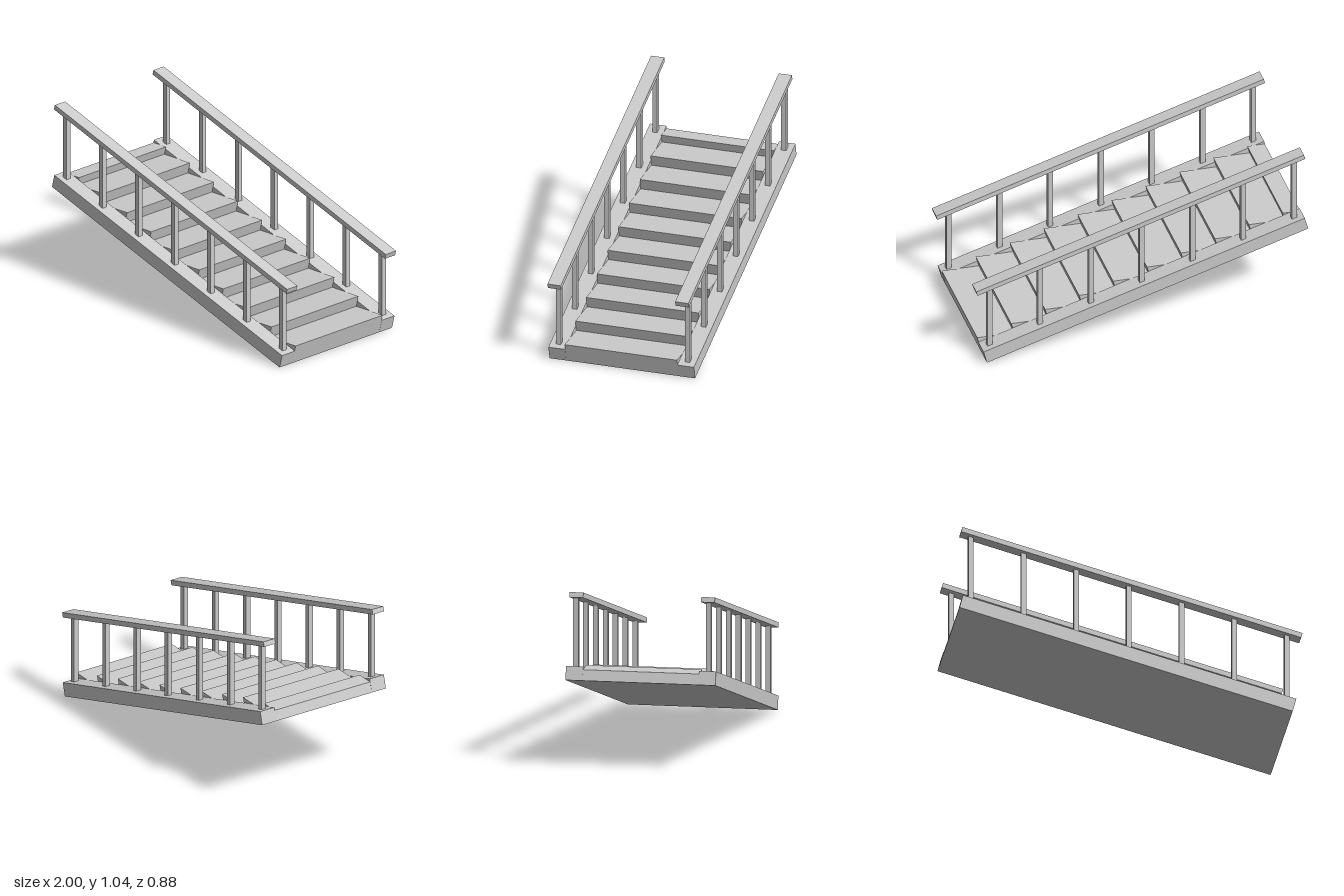
import * as THREE from 'three';

const material = new THREE.MeshStandardMaterial({ color: 0xcccccc, flatShading: true });

// Side profile in x/y, extruded from z0 to z1
function slab(name, points, z0, z1) {
  const shape = new THREE.Shape(points.map(([x, y]) => new THREE.Vector2(x, y)));
  const geometry = new THREE.ExtrudeGeometry(shape, { depth: z1 - z0, bevelEnabled: false });
  geometry.translate(0, 0, z0);
  const mesh = new THREE.Mesh(geometry, material);
  mesh.name = name;
  return mesh;
}

export function createModel() {
  const group = new THREE.Group();
  group.name = 'staircase';

  const slope = -0.272;
  const stringerTop = (x) => 0.612 + slope * (x + 0.98);
  const railTop = (x) => 1.048 - 0.273 * (x + 0.982);

  // Sawtooth flight: treads dip slightly towards the back, risers square to the slope
  const steps = 10, run = 0.2053, firstEdge = -0.878;
  const flight = [[-1, 0.533], [-0.983, 0.594]];
  for (let i = 0; i < steps; i++) {
    const x = firstEdge + i * run;
    const y = i === 0 ? 0.6 : 0.563 - (i - 1) * 0.0557;
    flight.push([x, y]);
    if (i < steps - 1) {
      const nextTread = 0.563 - i * 0.0557 - 0.013;
      flight.push([x + slope * (y - nextTread), nextTread]);
    }
  }
  flight.push([0.942, 0.003]);
  group.add(slab('steps', flight, -0.34, 0.34));

  // Stringer, balusters and handrail on each side
  for (const side of [1, -1]) {
    const label = side > 0 ? 'left' : 'right';
    const z0 = side > 0 ? 0.34 : -0.44;
    group.add(slab(label + 'Stringer',
      [[-1, 0.533], [0.942, 0.003], [0.963, stringerTop(0.963)], [-0.98, 0.612]], z0, z0 + 0.1));

    const railZ = side > 0 ? 0.354 : -0.418;
    group.add(slab(label + 'Handrail',
      [[-0.99, 1.019], [0.992, 0.478], [1, 0.507], [-0.982, 1.048]], railZ, railZ + 0.08));

    for (let i = 0; i < 7; i++) {
      const x = -0.928 + i * 0.307, a = x - 0.015, b = x + 0.015;
      const post = [[a, stringerTop(a) - 0.002], [b, stringerTop(b) - 0.002],
        [b, railTop(b) - 0.01], [a, railTop(a) - 0.01]];
      group.add(slab(label + 'Baluster' + (i + 1), post, side * 0.39 - 0.015, side * 0.39 + 0.015));
    }
  }
  return group;
}
